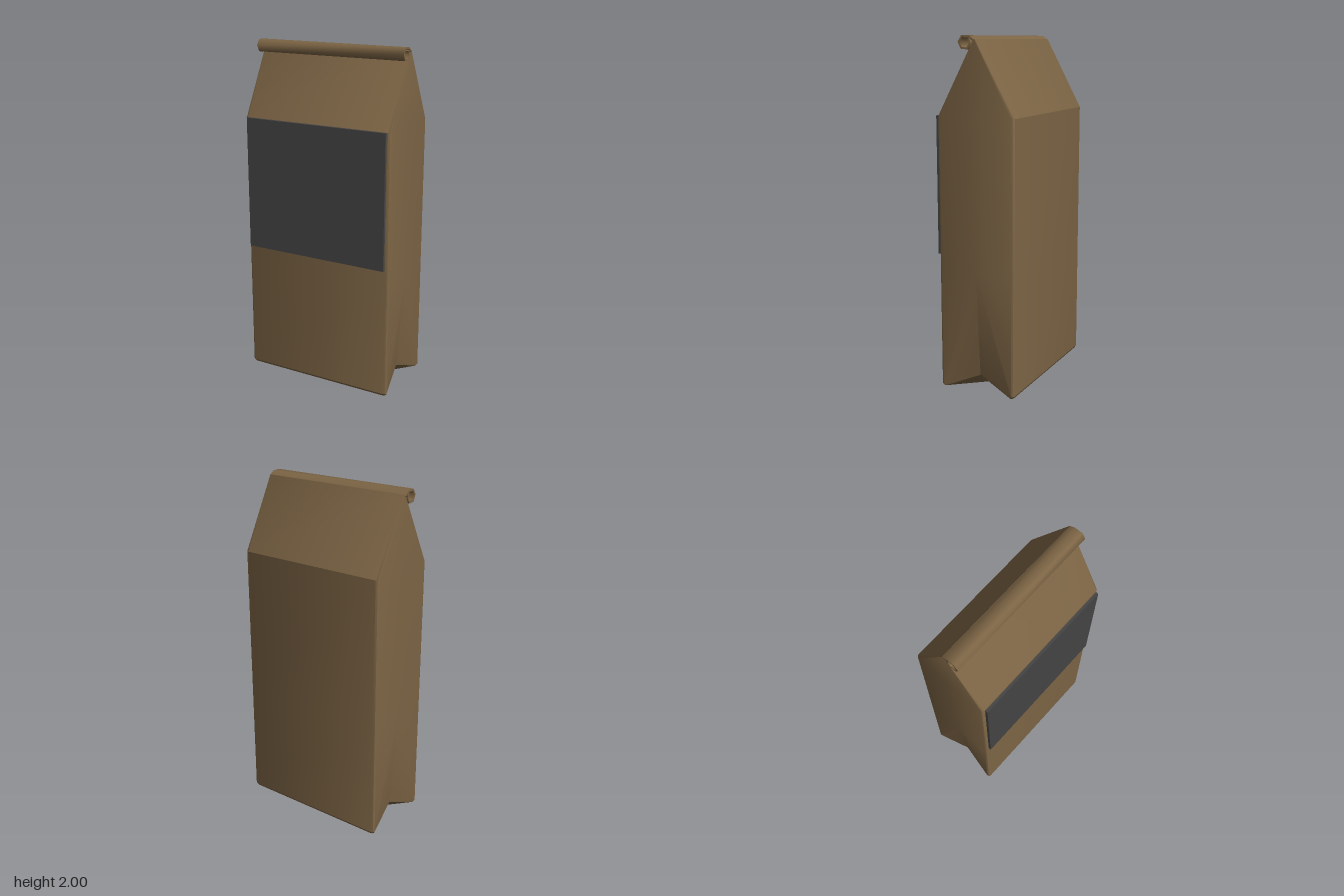
import * as THREE from 'three';
import { toCreasedNormals } from 'three/addons/utils/BufferGeometryUtils.js';

const W = 0.465, MID_Z = -0.01;

// Rounded rectangle at height y; points 0 and 7 are the middles of the side panels.
function ring(y, front, back, r, inset = 0, midX = W - inset, midY = y) {
  const w = W - inset, f = front - inset, b = back + inset, k = r * 0.3;
  return [
    [midX, midY, MID_Z],
    [w, y, f - r], [w - k, y, f - k], [w - r, y, f],
    [r - w, y, f], [k - w, y, f - k], [-w, y, f - r],
    [-midX, midY, MID_Z],
    [-w, y, b + r], [k - w, y, b + k], [r - w, y, b],
    [w - r, y, b], [w - k, y, b + k], [w, y, b + r],
  ];
}

function bagGeometry() {
  const rings = [
    ring(0.008, 0.223, -0.242, 0.016, 0.008, 0.42, 0.098),
    ring(0.022, 0.223, -0.242, 0.016, 0, 0.422, 0.106),
    ring(0.7, 0.223, -0.242, 0.016),
    ring(1.57, 0.223, -0.242, 0.016),
    ring(1.98, -0.006, -0.014, 0.002),
  ];
  const n = rings[0].length, index = [];
  // Walls and sloping top
  for (let k = 0; k < rings.length - 1; k++) {
    for (let i = 0; i < n; i++) {
      const j = (i + 1) % n;
      const a = k * n + i, b = k * n + j, c = a + n, d = b + n;
      // mirrored diagonals keep the lower folds symmetric
      if (i < 7 ? i < 4 : i < 11) index.push(a, c, b, b, c, d);
      else index.push(a, c, d, a, d, b);
    }
  }
  // Bottom, folded up towards the middle of each side
  const right = rings.length * n, left = right + 1;
  for (let i = 0; i < n; i++) {
    index.push(i <= 3 || i >= 11 ? right : left, i, (i + 1) % n);
  }
  index.push(right, 4, left, left, 11, right);

  const points = [...rings.flat(), [0.26, 0, MID_Z], [-0.26, 0, MID_Z]];
  const geo = new THREE.BufferGeometry();
  geo.setAttribute('position', new THREE.Float32BufferAttribute(points.flat(), 3));
  geo.setIndex(index);
  return toCreasedNormals(geo, 0.5);
}

// Six-sided curl of the closing strip, as a thin band extruded across the bag
function rollGeometry() {
  const outer = [[-0.014, 1.975], [0.018, 1.998], [0.066, 2.0], [0.088, 1.967],
    [0.07, 1.93], [0.03, 1.926], [0.008, 1.958], [0.022, 1.984]];
  const centre = [0.046, 1.964];
  const inner = outer.slice(1).map(([z, y]) => [
    centre[0] + (z - centre[0]) * 0.72, centre[1] + (y - centre[1]) * 0.72]);
  inner.unshift([-0.004, 1.968]);
  const shape = new THREE.Shape(
    [...outer, ...inner.reverse()].map(([z, y]) => new THREE.Vector2(-z, y)));
  const geo = new THREE.ExtrudeGeometry(shape, { depth: 2 * W + 0.004, bevelEnabled: false });
  geo.translate(0, 0, -W - 0.002);
  geo.rotateY(Math.PI / 2);
  return toCreasedNormals(geo, 1.15);
}

export function createModel() {
  const group = new THREE.Group();
  group.name = 'paperBag';
  const paper = new THREE.MeshStandardMaterial({ color: 0x7d6545, side: THREE.DoubleSide });
  const dark = new THREE.MeshStandardMaterial({ color: 0x444444 });

  const add = (name, geometry, material) => {
    const mesh = new THREE.Mesh(geometry, material);
    mesh.name = name;
    group.add(mesh);
    return mesh;
  };

  add('bag', bagGeometry(), paper);
  add('rolledTop', rollGeometry(), paper);
  // Blank label panel standing just off the front
  add('label', new THREE.BoxGeometry(0.89, 0.78, 0.016), dark).position.set(-0.001, 1.18, 0.234);
  return group;
}
